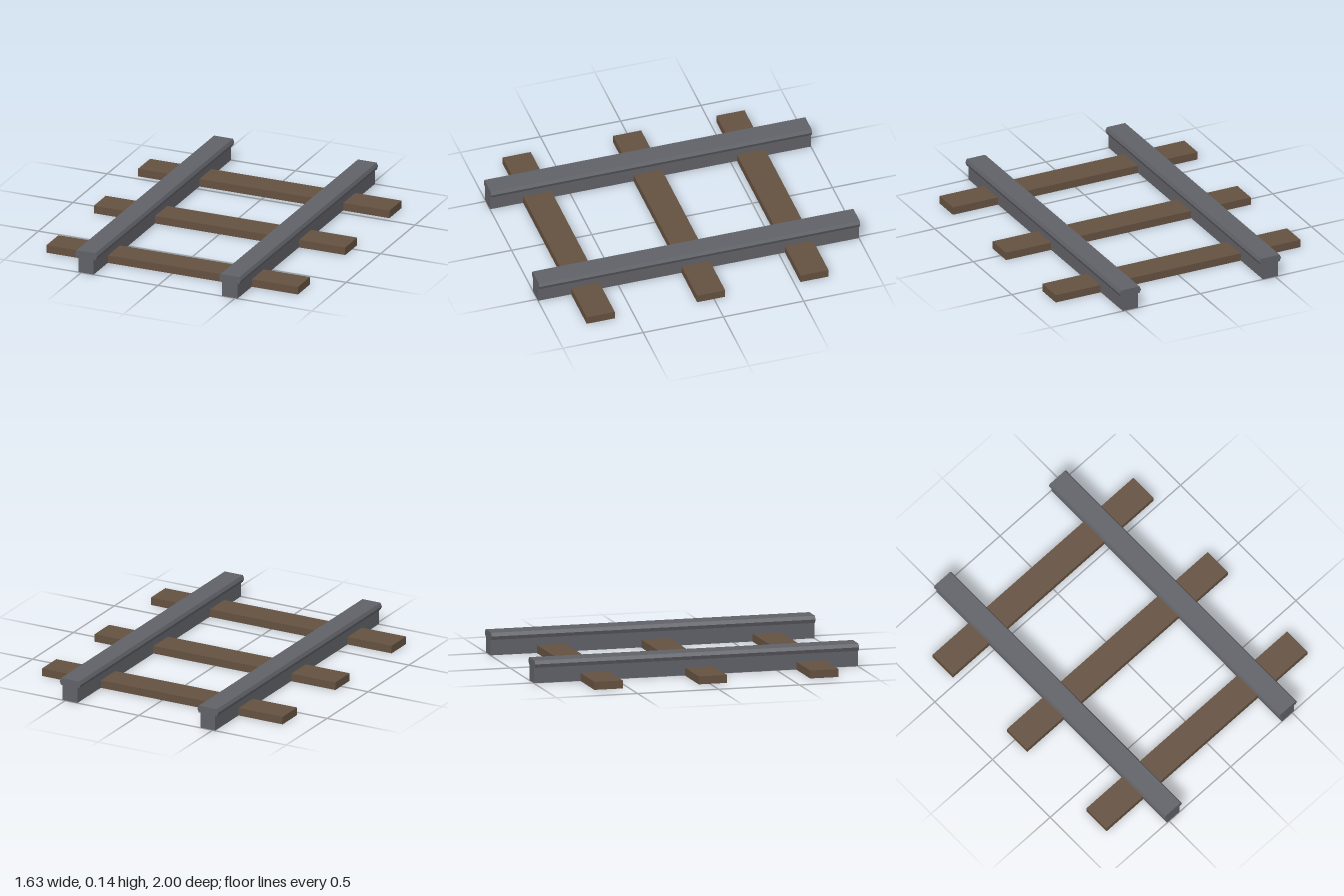
import * as THREE from 'three';

const steel = new THREE.MeshStandardMaterial({ color: 0x606167, flatShading: true });
const wood = new THREE.MeshStandardMaterial({ color: 0x645140, flatShading: true });

// Half of the rail section from the foot up: [half width, height]
const halfSection = [
  [0.05, 0.001], [0.05, 0.096], [0.062, 0.096], [0.071, 0.118], [0.061, 0.139],
];

function railGeometry(length) {
  const right = halfSection.map(([x, y]) => new THREE.Vector2(x, y));
  const left = halfSection.map(([x, y]) => new THREE.Vector2(-x, y)).reverse();
  const geometry = new THREE.ExtrudeGeometry(new THREE.Shape([...right, ...left]), {
    depth: length, bevelEnabled: false,
  });
  return geometry.translate(0, 0, -length / 2);
}

export function createModel() {
  const track = new THREE.Group();
  track.name = 'railwayTrack';

  // Two matching rails with bevelled heads
  const railShape = railGeometry(2);
  for (const [name, x] of [['leftRail', 0.467], ['rightRail', -0.468]]) {
    const rail = new THREE.Mesh(railShape, steel);
    rail.name = name;
    rail.position.x = x;
    track.add(rail);
  }

  // Three wooden sleepers crossing under the rails
  const sleeperShape = new THREE.BoxGeometry(1.634, 0.048, 0.175);
  [['backSleeper', -0.626], ['middleSleeper', 0.018], ['frontSleeper', 0.706]].forEach(([name, z]) => {
    const sleeper = new THREE.Mesh(sleeperShape, wood);
    sleeper.name = name;
    sleeper.position.set(0, 0.024, z);
    track.add(sleeper);
  });

  return track;
}
